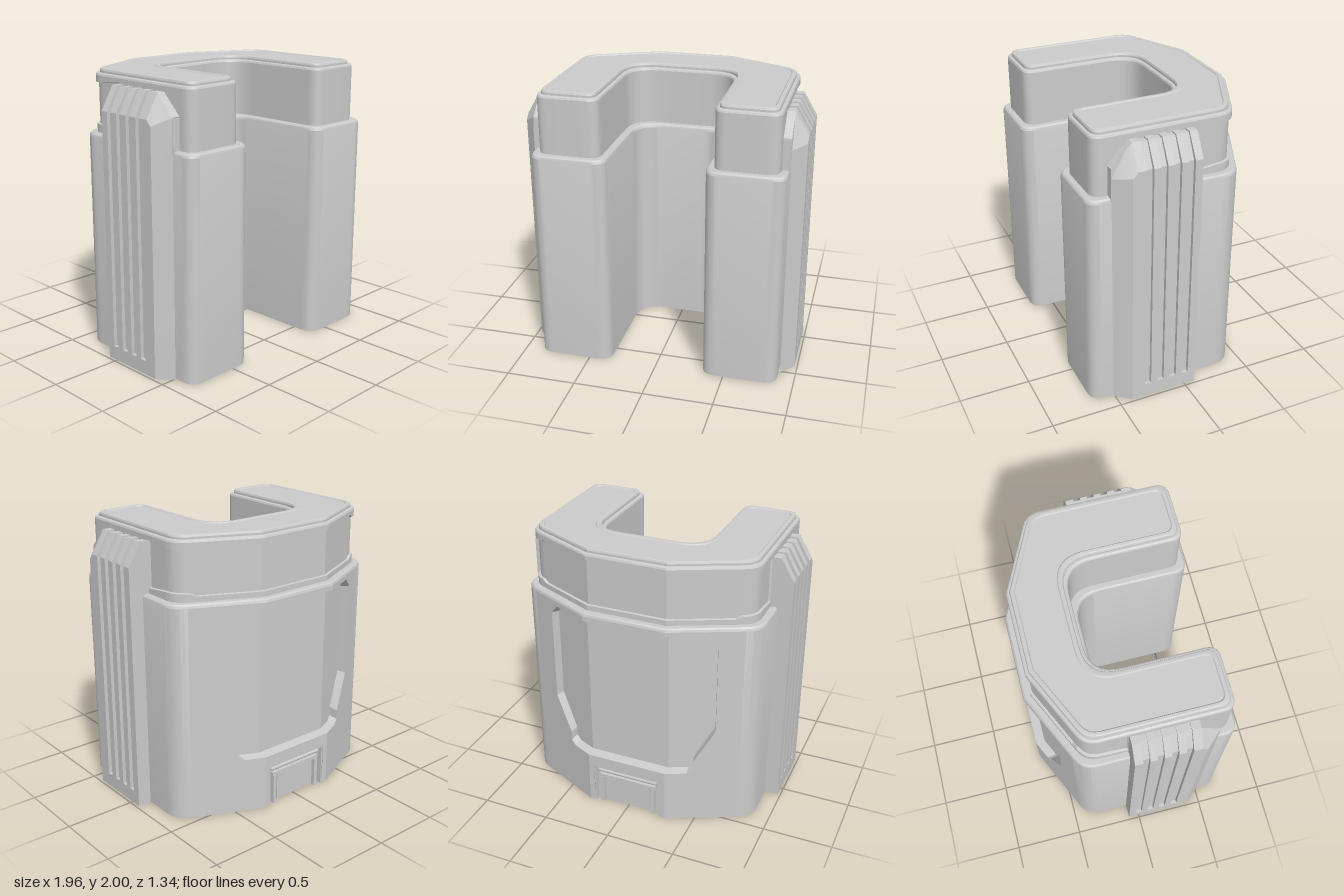
import * as THREE from 'three';
import { toCreasedNormals } from 'three/addons/utils/BufferGeometryUtils.js';

const grey = new THREE.MeshStandardMaterial({ color: 0xcccccc, side: THREE.DoubleSide });

// U-shaped plan: [x, z, corner radius] for the +x half, back to front to inner bay
const half = [
  [0.3, -0.67, 0], [0.72, -0.4745, 0], [0.88, -0.4, 0.17], [0.88, -0.09, 0], [0.88, -0.075, 0],
  [0.88, 0.665, 0.1], [0.34, 0.665, 0.1], [0.34, -0.17, 0.19],
];
const plan = [...half, ...half.map(([x, z, r]) => [-x, z, r]).reverse()];

// Plan outline moved inward by d, with rounded corners (same point count for every d)
function outline(d) {
  const n = plan.length, dir = [], pts = [];
  for (let i = 0; i < n; i++) {
    const a = plan[i], b = plan[(i + 1) % n];
    dir.push(new THREE.Vector2(b[0] - a[0], b[1] - a[1]).normalize());
  }
  plan.forEach(([x, z, r], i) => {
    const u = dir[(i + n - 1) % n], v = dir[i], k = d / (1 + u.dot(v));
    const p = new THREE.Vector2(x - k * (u.y + v.y), z + k * (u.x + v.x));
    if (!r) return pts.push(p);
    const turn = u.cross(v);
    const t = (r - Math.sign(turn) * 0.35 * d) * Math.tan(Math.acos(u.dot(v)) / 2);
    const curve = new THREE.QuadraticBezierCurve(
      p.clone().addScaledVector(u, -t), p, p.clone().addScaledVector(v, t));
    pts.push(...curve.getPoints(8));
  });
  return pts;
}

// Joins closed rings of Vector3 with quads; skip(i, row) leaves quads out
function loft(rings, skip = () => false) {
  const pos = [];
  for (let r = 0; r + 1 < rings.length; r++) {
    const lo = rings[r], hi = rings[r + 1];
    lo.forEach((a, i) => {
      if (skip(i, r)) return;
      const j = (i + 1) % lo.length;
      for (const p of [a, hi[i], lo[j], lo[j], hi[i], hi[j]]) pos.push(p.x, p.y, p.z);
    });
  }
  const g = new THREE.BufferGeometry();
  g.setAttribute('position', new THREE.Float32BufferAttribute(pos, 3));
  return toCreasedNormals(g, 0.35);
}

// Back wall: flat in the middle, slanting forward to both sides
const backZ = (x) => -0.67 + Math.max(0, Math.abs(x) - 0.3) * 0.4655;

// Flat (x, y) polygon bent onto the back wall, pushed in by depth
function backFace(points, depth = 0) {
  const g = new THREE.ShapeGeometry(new THREE.Shape(points.map(([x, y]) => new THREE.Vector2(x, y))));
  const p = g.attributes.position;
  for (let i = 0; i < p.count; i++) {
    const x = -p.getX(i);
    p.setXYZ(i, x, p.getY(i), backZ(x) + depth);
  }
  g.computeVertexNormals();
  return g;
}

export function createModel() {
  const model = new THREE.Group();
  const add = (name, geometry, parent = model) => {
    const m = new THREE.Mesh(geometry, grey);
    m.name = name;
    parent.add(m);
    return m;
  };
  const box = (name, w, h, d, x, y, z, parent) =>
    add(name, new THREE.BoxGeometry(w, h, d), parent).position.set(x, y, z);

  // Shell rows: inset, height, extra inset of the rear band, height step at the rear corners
  const base = outline(0);
  const rows = [
    [0, 0], [0, 1.535], [0.005, 1.55], [0.015, 1.56], [0.05, 1.56], [0.05, 1.597, 0, 0.02],
    [0.05, 1.6, 0.018, 0.02], [0.05, 1.925, 0.018, -0.02], [0.05, 1.928, 0, -0.02], [0.05, 1.955],
    [0.055, 1.967], [0.065, 1.972], [0.075, 1.972], [0.075, 1.985], [0.08, 1.997], [0.088, 2],
    [0.105, 2], [0.112, 1.992],
  ];
  const rings = rows.map(([d, y, band = 0, step = 0]) => {
    const plain = outline(d), deep = outline(d + band);
    return base.map((b, i) => {
      const outer = Math.abs(b.x) > 0.87 || b.y < -0.28;
      const p = outer && b.y < -0.085 ? deep[i] : plain[i];
      const corner = outer && b.y < -0.28 && b.y > -0.45;
      return new THREE.Vector3(p.x, y + (corner ? step : 0), p.y);
    });
  });
  const isBack = (i) => base[i].y < -0.44 && base[(i + 1) % base.length].y < -0.44;
  add('shell', loft(rings, (i, r) => r === 0 && isBack(i)));

  // Sunken top plate
  const topShape = new THREE.Shape(outline(0.112).map((p) => new THREE.Vector2(p.x, -p.y)));
  add('topPlate', new THREE.ShapeGeometry(topShape).rotateX(-Math.PI / 2).translate(0, 1.992, 0));

  // Back wall around the recessed panel and the latch bay
  const edgeX = Math.max(...base.filter((p) => p.y < -0.44).map((p) => p.x));
  const recess = [[0.3, 1.5], [0.56, 1.5], [0.62, 1.43], [0.62, 0.75], [0.48, 0.5], [0.48, 0.43], [0.44, 0.4], [0.3, 0.4]];
  const mirror = (pts, s) => pts.map(([x, y]) => [x * s, y]);
  const shrink = ([x, y]) => [x > 0.3 ? 0.3 + (x - 0.3) * 0.93 : x, 0.95 + (y - 0.95) * 0.98];
  const floor = recess.map(shrink), depth = 0.07;
  for (const s of [1, -1]) {
    const wall = [[0.3, 0], [edgeX, 0], [edgeX, 1.535], [0.3, 1.535], ...recess];
    add('backWallSide', backFace(mirror(wall, s)));
    add('backPanelSide', backFace(mirror(floor, s), depth));
  }
  add('backWallTop', backFace([[-0.3, 1.5], [0.3, 1.5], [0.3, 1.535], [-0.3, 1.535]]));
  add('backWallBottom', backFace([[-0.3, 0], [-0.26, 0], [-0.26, 0.31], [0.26, 0.31], [0.26, 0],
    [0.3, 0], [0.3, 0.4], [-0.3, 0.4]]));
  const [fTop, fLow] = [floor[0][1], floor[7][1]];
  add('backPanel', backFace([[-0.3, fLow], [0.3, fLow], [0.3, fTop], [-0.3, fTop]], depth));
  const rim = (pts, push) => [...pts, ...mirror(pts, -1).reverse()]
    .map(([x, y]) => new THREE.Vector3(x, y, backZ(x) + push));
  add('backPanelRim', loft([rim(recess, 0), rim(floor, depth)]));

  // Latch in the bay at the bottom of the back
  const latch = new THREE.Group();
  latch.name = 'latch';
  model.add(latch);
  box('latchBay', 0.52, 0.31, 0.01, 0, 0.155, -0.62, latch);
  box('latchBayTop', 0.52, 0.01, 0.05, 0, 0.305, -0.64, latch);
  box('latchPlate', 0.34, 0.2, 0.025, 0, 0.12, -0.637, latch);
  box('latchLip', 0.44, 0.025, 0.035, 0, 0.235, -0.642, latch);
  const hinge = add('latchHinge', new THREE.CylinderGeometry(0.016, 0.016, 0.46, 12), latch);
  hinge.rotation.z = Math.PI / 2;
  hinge.position.set(0, 0.272, -0.64);
  for (const s of [1, -1]) {
    box('latchBaySide', 0.01, 0.31, 0.05, s * 0.255, 0.155, -0.64, latch);
    box('latchRib', 0.025, 0.22, 0.035, s * 0.2, 0.11, -0.642, latch);
  }

  // Ribbed side panels: slices along z, grooved slices sit lower above y = 0.1
  const slice = (grooved) => {
    const g = grooved ? 0.025 : 0;
    const pts = [[0.875, 0], [0.98, 0]];
    if (grooved) pts.push([0.98, 0.1], [0.98 - g, 0.1]);
    pts.push([0.98 - g, 1.76 - g * 0.3], [0.885 - g * 0.4, 1.92 - g * 0.4], [0.82, 1.92 - g * 0.4], [0.82, 1.54], [0.875, 1.54]);
    return pts;
  };
  const cuts = [-0.08, -0.025, 0.022, 0.07, 0.117, 0.165, 0.212, 0.262, 0.309, 0.37];
  for (const s of [1, -1]) {
    const panel = new THREE.Group();
    panel.name = 'sidePanel';
    model.add(panel);
    for (let i = 0; i + 1 < cuts.length; i++) {
      const shape = new THREE.Shape(mirror(slice(i % 2 === 1), s).map(([x, y]) => new THREE.Vector2(x, y)));
      const g = new THREE.ExtrudeGeometry(shape, { depth: cuts[i + 1] - cuts[i], bevelEnabled: false });
      add(i % 2 ? 'panelGroove' : 'panelRib', g.translate(0, 0, cuts[i]), panel);
    }
    // Chamfered front end of the panel
    const section = (x, shoulder, top, z, zTop) => [[0.875, 0], [x, 0], [x, shoulder], [0.885, top], [0.82, top], [0.82, 1.54], [0.875, 1.54]]
      .map(([px, y], i) => new THREE.Vector3(px * s, y, i === 3 || i === 4 ? zTop : z));
    const ends = [section(0.98, 1.76, 1.92, 0.37, 0.37), section(0.98, 1.72, 1.885, 0.405, 0.405),
      section(0.89, 1.7, 1.78, 0.51, 0.51)];
    add('panelFrontEnd', loft(s > 0 ? ends : ends.reverse()), panel);
    box('panelFrontEdge', 0.06, 0.23, 0.01, s * 0.855, 1.655, 0.505, panel);
  }
  return model;
}
